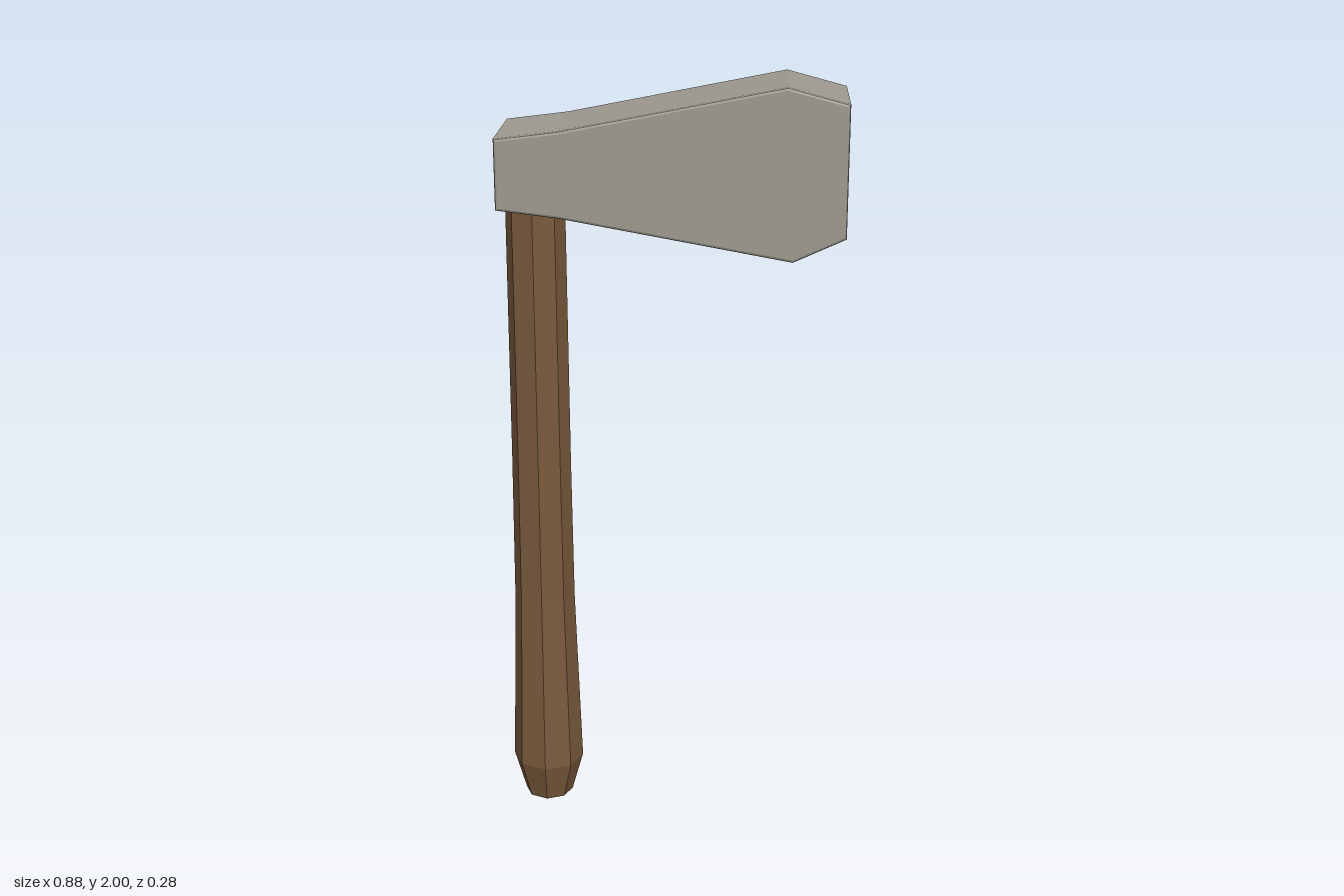
import * as THREE from 'three';

export function createModel() {
  const group = new THREE.Group();
  group.name = 'hammerAxe';

  const stone = new THREE.MeshStandardMaterial({ color: 0x9e9a90 });
  stone.name = 'stone grey';
  const wood = new THREE.MeshStandardMaterial({ color: 0x7a5a3c, flatShading: true });
  wood.name = 'brown wood';

  // Eight-sided handle with a flared, tapered butt; its top sits inside the head
  const profile = [[0, 0], [0.065, 0], [0.096, 0.11], [0.081, 0.6], [0.078, 1.0], [0.076, 1.76], [0, 1.76]]
    .map(([r, y]) => new THREE.Vector2(r, y));
  const handle = new THREE.Mesh(new THREE.LatheGeometry(profile, 8), wood);
  handle.name = 'handle';
  handle.position.x = -0.345;
  group.add(handle);

  // Wedge-shaped head with slightly softened front and back edges
  const outline = new THREE.Shape([
    [-0.428, 1.693], [-0.27, 1.674], [0.305, 1.57], [0.436, 1.63],
    [0.436, 1.96], [0.285, 2.0], [-0.27, 1.89], [-0.428, 1.87],
  ].map(([x, y]) => new THREE.Vector2(x, y)));
  const halfDepth = 0.142;
  const bevel = 0.007;
  const headGeometry = new THREE.ExtrudeGeometry(outline, {
    depth: 2 * (halfDepth - bevel),
    bevelEnabled: true,
    bevelThickness: bevel,
    bevelSize: bevel,
    bevelOffset: -bevel,
    bevelSegments: 2,
  });
  headGeometry.translate(0, 0, -(halfDepth - bevel));
  const head = new THREE.Mesh(headGeometry, stone);
  head.name = 'head';
  group.add(head);

  return group;
}
